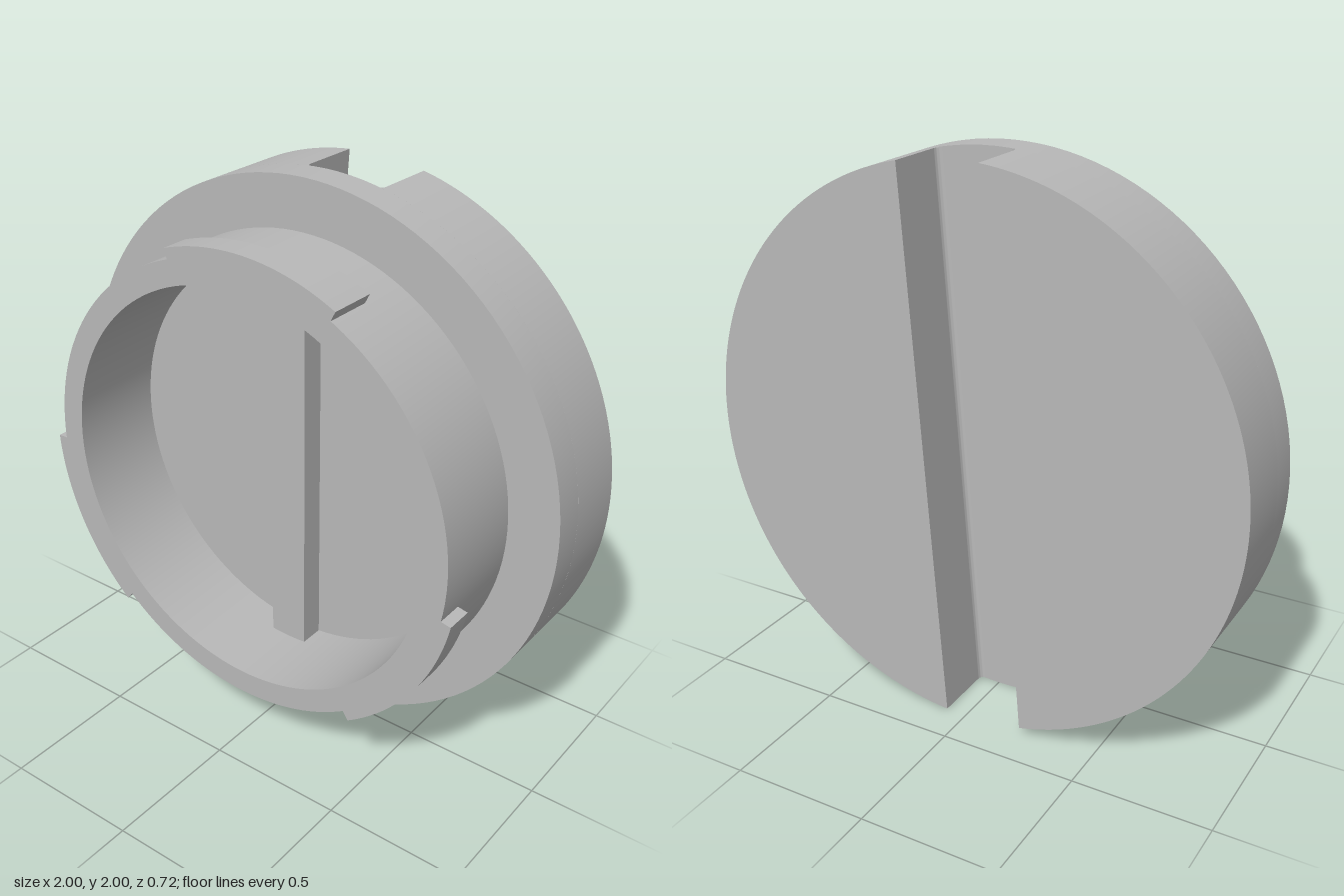
import * as THREE from 'three';
import { toCreasedNormals } from 'three/addons/utils/BufferGeometryUtils.js';

const R = 1, CUP_R = 0.818, BORE_R = 0.73, TAB_R = 0.855;
const BACK = -0.36, FLOOR = -0.12, FRONT = 0.36;
const SLOT_HALF = 0.149, SLOT_TILT = 0.0725;

export function createModel() {
  const grey = new THREE.MeshStandardMaterial({ color: 0xb8b8b8 });
  grey.name = 'plain grey';
  const model = new THREE.Group();
  model.name = 'slottedBayonetCap';

  const add = (name, geometry, parent = model) => {
    const mesh = new THREE.Mesh(toCreasedNormals(geometry, 0.5), grey);
    mesh.name = name;
    parent.add(mesh);
    return mesh;
  };
  // Extrude an outline in the xy plane between two z positions
  const slab = (shape, z0, z1, curveSegments) =>
    new THREE.ExtrudeGeometry(shape, { depth: z1 - z0, bevelEnabled: false, curveSegments })
      .translate(0, 0, z0);

  // Front half of the flange and the hollow collar, turned about z
  const profile = [
    [0, FLOOR], [R, FLOOR], [R, 0], [CUP_R, 0], [CUP_R, FRONT],
    [BORE_R, FRONT], [BORE_R, 0], [0, 0],
  ].map(([r, z]) => new THREE.Vector2(r, z));
  add('flangeAndCollar', new THREE.LatheGeometry(profile, 128).rotateX(Math.PI / 2));

  // Rib across the floor of the collar
  add('innerRib', new THREE.BoxGeometry(0.146, 1.5, 0.11).translate(0, 0, 0.035));

  // Back half of the flange, split by a slightly tilted screwdriver slot
  const slotted = new THREE.Group();
  slotted.name = 'slottedBack';
  slotted.rotation.z = -SLOT_TILT;
  model.add(slotted);

  const edge = Math.acos(SLOT_HALF / R);
  const half = new THREE.Shape();
  half.absarc(0, 0, R, -edge, edge, false);
  half.closePath();

  // Small concave fillet where the slot wall meets its floor
  const f = 0.02, length = 2 * Math.sin(edge);
  const fillet = new THREE.Shape();
  fillet.moveTo(0, 0);
  fillet.lineTo(f, 0);
  fillet.absarc(f, f, f, -Math.PI / 2, -Math.PI, true);
  fillet.closePath();

  for (const [side, turn] of [['left', 0], ['right', Math.PI]]) {
    add(side + 'BackHalf', slab(half, BACK, FLOOR, 64).rotateZ(turn), slotted);
    add(side + 'SlotFillet', slab(fillet, 0, length, 5)
      .rotateX(-Math.PI / 2)
      .translate(-SLOT_HALF, -length / 2, FLOOR)
      .rotateZ(turn), slotted);
  }

  // Three L-shaped bayonet tabs: a long thin arm and a deeper end stop
  const deg = THREE.MathUtils.degToRad;
  const sector = (from, to) => {
    const s = new THREE.Shape();
    s.absarc(0, 0, TAB_R, deg(from), deg(to), false);
    s.absarc(0, 0, CUP_R - 0.01, deg(to), deg(from), true);
    s.closePath();
    return s;
  };
  for (let i = 0; i < 3; i++) {
    const tab = new THREE.Group();
    tab.name = 'bayonetTab' + (i + 1);
    tab.rotation.z = -i * Math.PI * 2 / 3;
    add('tabArm', slab(sector(77.2, 109), 0.26, FRONT, 20), tab);
    add('tabStop', slab(sector(62.8, 77.2), 0.185, FRONT, 12), tab);
    model.add(tab);
  }

  model.position.y = 1;
  const root = new THREE.Group();
  root.name = 'cap';
  root.add(model);
  return root;
}
